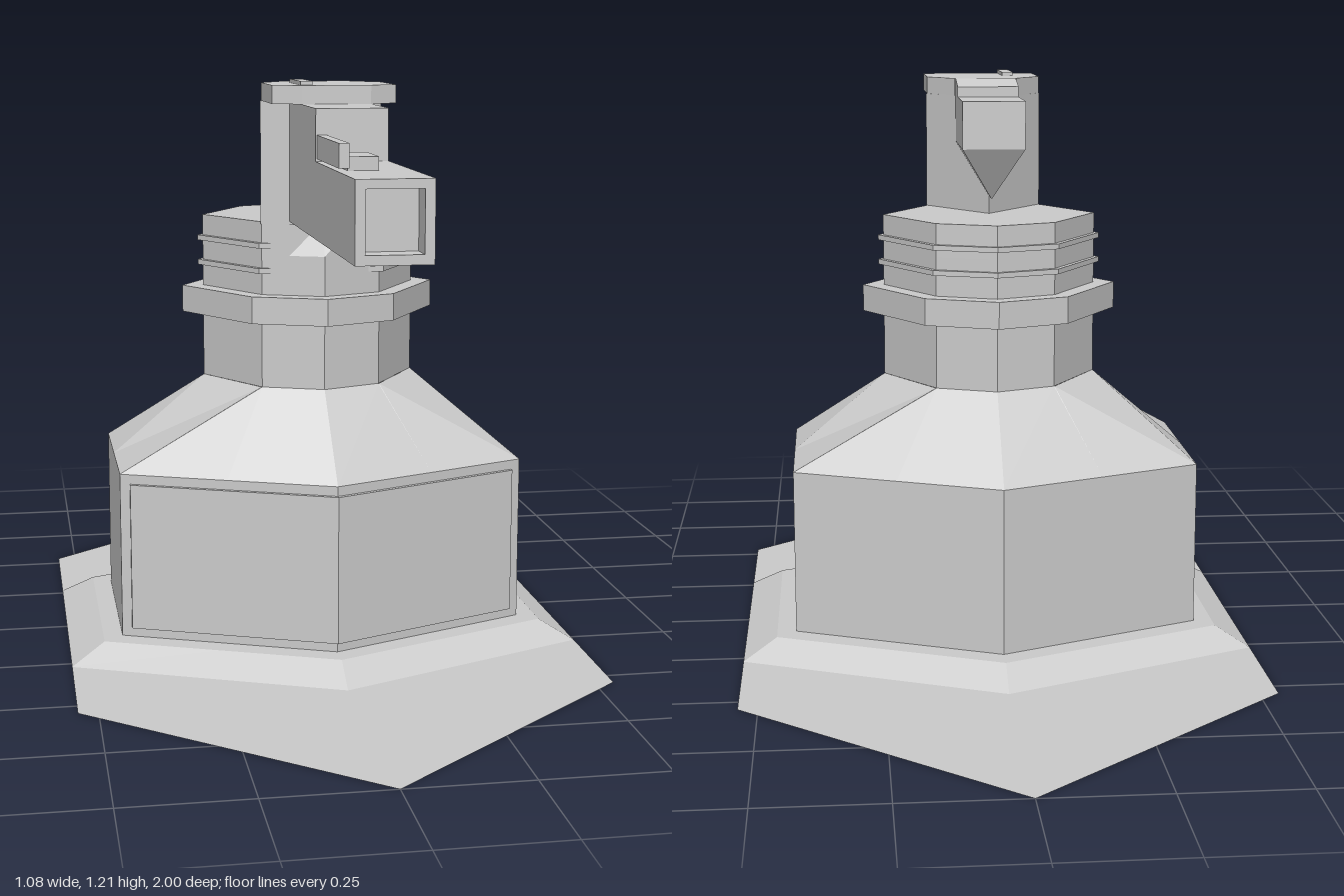
import * as THREE from 'three';

const material = new THREE.MeshStandardMaterial({ color: 0xcccccc, flatShading: true, side: THREE.DoubleSide });

// Completes a half outline of [x, z] points (front to back on +x) with its mirror image.
function mirror(half) {
  const other = half.filter(([x]) => x > 0).reverse().map(([x, z]) => [-x, z]);
  return [...half, ...other];
}

// Surface through stacked [outline, y] sections, with an optional lid and floor.
function loft(sections, lid = false, floor = false) {
  const pos = [];
  const rings = sections.map(([pts, y]) => pts.map(([x, z]) => [x, y, z]));
  const tri = (a, b, c) => pos.push(...a, ...b, ...c);
  for (let s = 0; s + 1 < rings.length; s++) {
    const a = rings[s], b = rings[s + 1];
    for (let i = 0; i < a.length; i++) {
      const j = (i + 1) % a.length;
      tri(a[i], a[j], b[j]);
      tri(a[i], b[j], b[i]);
    }
  }
  const top = rings[rings.length - 1], bottom = rings[0];
  for (let i = 1; i + 1 < top.length; i++) {
    if (lid) tri(top[0], top[i], top[i + 1]);
    if (floor) tri(bottom[0], bottom[i + 1], bottom[i]);
  }
  const geo = new THREE.BufferGeometry();
  geo.setAttribute('position', new THREE.Float32BufferAttribute(pos, 3));
  geo.computeVertexNormals();
  return geo;
}

// Upright prism over an [x, z] outline.
function prism(outline, y0, y1) {
  const shape = new THREE.Shape(outline.map(([x, z]) => new THREE.Vector2(x, -z)));
  return new THREE.ExtrudeGeometry(shape, { depth: y1 - y0, bevelEnabled: false })
    .rotateX(-Math.PI / 2).translate(0, y0, 0);
}

// Box given by its limits on each axis.
function box(x0, x1, y0, y1, z0, z1) {
  return new THREE.BoxGeometry(x1 - x0, y1 - y0, z1 - z0)
    .translate((x0 + x1) / 2, (y0 + y1) / 2, (z0 + z1) / 2);
}

// Hexagon with points at front and back and a vertex at the middle of each edge.
function hexagon(tip, x, z) {
  return mirror([[0, tip], [x / 2, (tip + z) / 2], [x, z], [x, 0],
    [x, -z], [x / 2, -(tip + z) / 2], [0, -tip]]);
}

export function createModel() {
  const group = new THREE.Group();
  const add = (name, geometry) => {
    const mesh = new THREE.Mesh(geometry, material);
    mesh.name = name;
    group.add(mesh);
  };

  // Open-bottomed base: ground plate, sloping kerb, hexagonal body and shoulders
  const ridge = hexagon(0.5, 0.54, 0.27);
  const bodyPlan = hexagon(0.38, 0.43, 0.2);
  const shoulderTop = mirror([[0, 0.22], [0.125, 0.17], [0.126, 0.17], [0.23, 0],
    [0.126, -0.17], [0.125, -0.17], [0, -0.22]]);
  add('groundPlate', loft([[hexagon(1, 0.54, 0.54), 0], [ridge, 0]]));
  add('kerb', loft([[ridge, 0], [hexagon(0.43, 0.47, 0.235), 0.04], [bodyPlan, 0.04]]));
  add('body', loft([[bodyPlan, 0.04], [bodyPlan, 0.39]]));
  add('shoulders', loft([[bodyPlan, 0.39], [shoulderTop, 0.56]]));

  // Raised panel folded around the front corner
  add('frontPanel', prism([[0, 0.39], [0.41, 0.218], [0.41, 0.2], [0, 0.37],
    [-0.41, 0.2], [-0.41, 0.218]], 0.06, 0.37));

  // Eight-sided neck whose front corner is chamfered near the top
  const neck = (front) => mirror([[0, front], [0.07, 0.192], [0.125, 0.17], [0.23, 0],
    [0.125, -0.17], [0, -0.22]]);
  add('neck', loft([[neck(0.22), 0.56], [neck(0.22), 0.84], [neck(0.192), 0.91]], true));
  add('collar', prism(mirror([[0, 0.26], [0.15, 0.2], [0.275, 0], [0.15, -0.2], [0, -0.26]]), 0.7, 0.757));
  for (const y of [0.802, 0.855]) {
    add('neckRing', prism(mirror([[0.132, 0.18], [0.241, 0], [0.132, -0.18], [0, -0.228]]), y, y + 0.011));
  }

  // Wedge-shaped column and its overhanging cap
  add('column', prism(mirror([[0.07, 0.195], [0.127, 0.17], [0, 0]]), 0.905, 1.16));
  add('cap', prism(mirror([[0.07, 0.35], [0.125, 0.325], [0.125, 0.17], [0.068, 0.09]]), 1.16, 1.197));
  add('capRail', box(-0.07, -0.046, 1.195, 1.205, 0.2, 0.34));

  // Tail behind the column, narrowing to a keel, with a sloped step on top
  const tail = mirror([[0, 0.09], [0.066, 0.09], [0.066, -0.135], [0, -0.135]]);
  const keel = mirror([[0, 0], [0.001, 0], [0.001, -0.07], [0, -0.07]]);
  add('tail', loft([[keel, 0.95], [tail, 1.06], [tail, 1.16]], true, true));
  const step = new THREE.Shape([[-0.09, 1.15], [-0.02, 1.15], [-0.02, 1.182], [-0.09, 1.197]]
    .map(([z, y]) => new THREE.Vector2(z, y)));
  add('tailStep', new THREE.ExtrudeGeometry(step, { depth: 0.132, bevelEnabled: false })
    .translate(0, 0, -0.066).rotateY(Math.PI / 2));

  // Square barrel with a hollow muzzle, and the higher housing behind it
  add('barrel', box(-0.07, 0.07, 0.912, 1.06, 0.17, 0.87));
  add('barrelHousing', box(-0.07, 0.07, 1.06, 1.16, 0.17, 0.52));
  const rect = (Type, x, y0, y1) => new Type([[-x, y0], [x, y0], [x, y1], [-x, y1]]
    .map((p) => new THREE.Vector2(...p)));
  const muzzle = rect(THREE.Shape, 0.07, 0.912, 1.06);
  muzzle.holes.push(rect(THREE.Path, 0.052, 0.93, 1.043));
  add('muzzle', new THREE.ExtrudeGeometry(muzzle, { depth: 0.05, bevelEnabled: false }).translate(0, 0, 0.87));

  // Sight: an upright rail with a low block beside it
  add('sightRail', box(-0.068, -0.049, 1.065, 1.11, 0.51, 0.755));
  add('sightBlock', box(-0.05, 0.007, 1.06, 1.085, 0.63, 0.742));

  return group;
}
